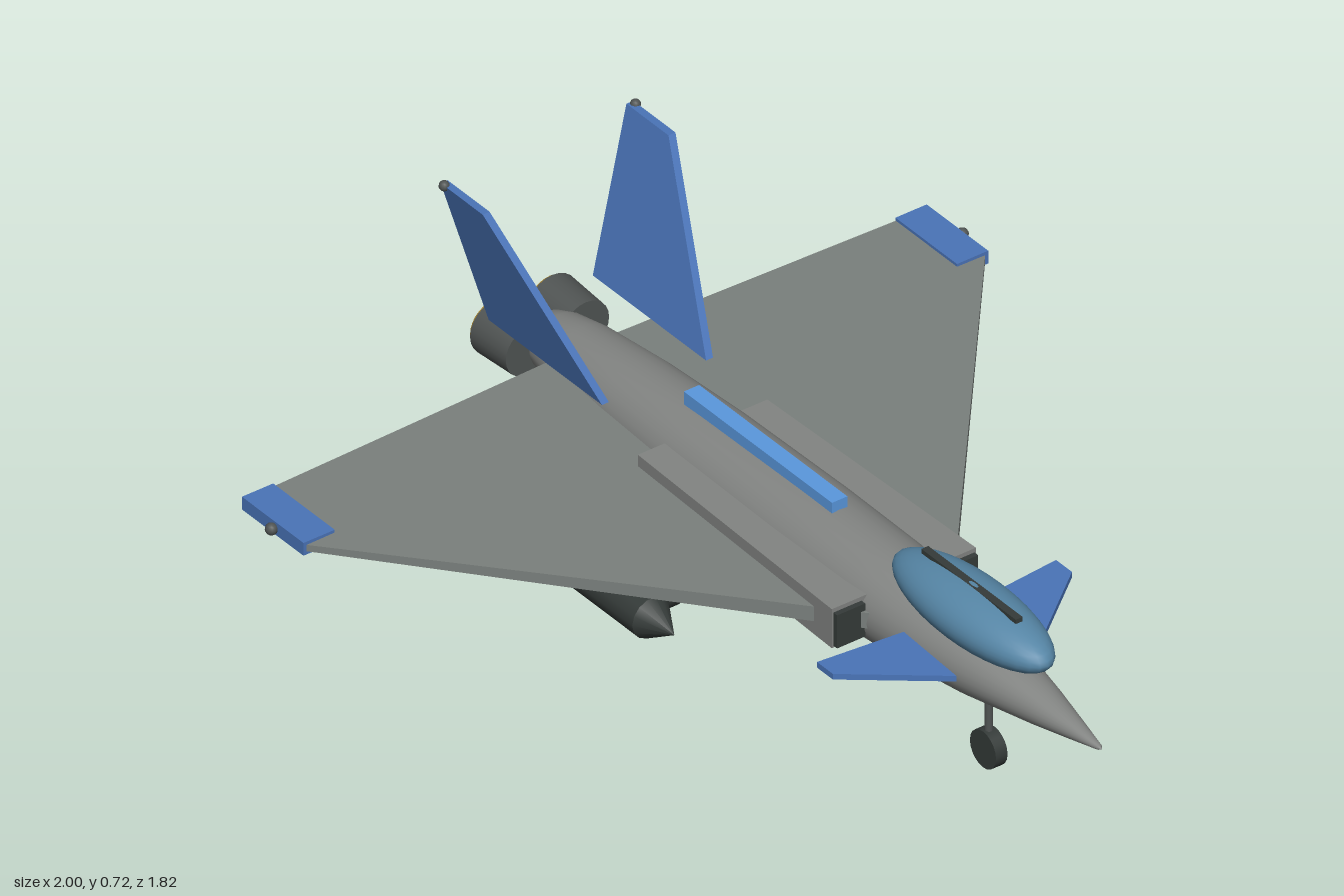
import * as THREE from 'three';
import { ConvexGeometry } from 'three/addons/geometries/ConvexGeometry.js';

const paint = (name, color) => {
  const m = new THREE.MeshStandardMaterial({ color });
  m.name = name;
  return m;
};

export function createModel() {
  const model = new THREE.Group();
  model.name = 'jet';
  const hull = paint('hull grey', 0x828482);
  const wingGrey = paint('wing grey', 0x7a807d);
  const blue = paint('blue', 0x4a74b8);
  const lightBlue = paint('light blue', 0x5a98de);
  const glass = paint('canopy glass', 0x5686a6);
  const dark = paint('dark grey', 0x353b39);
  const nozzleGrey = paint('nozzle grey', 0x505453);
  const gold = paint('gold', 0xc9a03a);

  const add = (name, geo, mat, x = 0, y = 0, z = 0) => {
    const mesh = new THREE.Mesh(geo, mat);
    mesh.name = name;
    mesh.position.set(x, y, z);
    model.add(mesh);
    return mesh;
  };
  // Box given by its limits on each axis
  const box = (name, mat, x0, x1, y0, y1, z0, z1) =>
    add(name, new THREE.BoxGeometry(x1 - x0, y1 - y0, Math.abs(z1 - z0)), mat,
      (x0 + x1) / 2, (y0 + y1) / 2, (z0 + z1) / 2);
  // Flat-sided solid around its corner points
  const solid = (name, mat, pts) =>
    add(name, new ConvexGeometry(pts.map((p) => new THREE.Vector3(...p))), mat);
  // Revolved body along x, profile as [x, radius] from rear to front
  const spun = (profile, sides) =>
    new THREE.LatheGeometry(profile.map(([x, r]) => new THREE.Vector2(r, x)), sides).rotateZ(-Math.PI / 2);

  // Fuselage, slightly wider than tall
  const outline = [[-0.94, 0], [-0.935, 0.035], [-0.91, 0.052], [-0.87, 0.066], [-0.79, 0.079],
    [-0.6, 0.094], [-0.35, 0.104], [0, 0.108], [0.25, 0.106], [0.42, 0.096], [0.6, 0.076],
    [0.8, 0.043], [0.92, 0.02], [0.99, 0.006], [1, 0]];
  add('fuselage', spun(outline, 28).scale(1, 1, 1.13), hull, 0, 0.255, 0);

  // Canopy, its top frame, spine and belly panel
  add('canopy', new THREE.SphereGeometry(1, 32, 20).scale(0.257, 0.066, 0.087), glass, 0.558, 0.362, 0);
  box('canopyFrame', dark, 0.39, 0.715, 0.417, 0.4277, -0.009, 0.009);
  box('spine', lightBlue, -0.413, 0.097, 0.355, 0.387, -0.02, 0.02);
  box('bellyPanel', dark, -0.29, 0.097, 0.142, 0.165, -0.057, 0.057);

  // Nose gear
  add('noseStrut', new THREE.CylinderGeometry(0.009, 0.009, 0.16, 12), nozzleGrey, 0.61, 0.125, 0);
  add('noseWheel', new THREE.CylinderGeometry(0.045, 0.045, 0.03, 20).rotateX(Math.PI / 2), dark, 0.61, 0.047, 0);

  for (const s of [1, -1]) {
    const side = s > 0 ? 'left' : 'right';
    const name = (part) => side + part;

    // Delta wing, thinner toward the tip
    const wing = [];
    for (const [x, z, h] of [[-0.79, 0.08, 0.02], [0.38, 0.08, 0.02], [-0.78, 0.88, 0.008], [-0.57, 0.88, 0.008]])
      wing.push([x, 0.263 + h, s * z], [x, 0.263 - h, s * z]);
    solid(name('Wing'), wingGrey, wing);
    box(name('WingTip'), blue, -0.782, -0.57, 0.247, 0.279, s * 0.807, s * 0.888);
    add(name('TipLight'), new THREE.SphereGeometry(0.014, 12, 8), nozzleGrey, -0.67, 0.263, s * 0.896);

    // Canted tail fin
    const fin = [];
    for (const [x, y, z] of [[-0.92, 0.34, 0.135], [-0.53, 0.34, 0.135], [-0.8, 0.714, 0.241], [-0.945, 0.714, 0.241]])
      fin.push([x, y, s * (z - 0.009)], [x, y, s * (z + 0.009)]);
    solid(name('TailFin'), blue, fin);
    add(name('FinLight'), new THREE.SphereGeometry(0.012, 12, 8), nozzleGrey, -0.935, 0.712, s * 0.248);

    // Canard
    const canard = [];
    for (const [x, z] of [[0.45, 0.1], [0.645, 0.11], [0.485, 0.31], [0.43, 0.31]])
      canard.push([x, 0.276, s * z], [x, 0.29, s * z]);
    solid(name('Canard'), blue, canard);

    // Air intake with dark mouth
    const intake = [];
    for (const [x, z] of [[-0.375, 0.168], [0.318, 0.187]])
      for (const y of [0.212, 0.31]) intake.push([x, y, s * 0.07], [x, y, s * z]);
    solid(name('Intake'), hull, intake);
    box(name('IntakeMouth'), dark, 0.31, 0.331, 0.217, 0.3, s * 0.11, s * 0.183);

    // Engine nozzle with gold rim and blue core
    const z = s * 0.073;
    add(name('Nozzle'), spun([[-0.99, 0], [-0.99, 0.067], [-0.875, 0.061], [-0.875, 0]], 24), nozzleGrey, 0, 0.258, z)
      .geometry = new THREE.CylinderGeometry(0.061, 0.067, 0.115, 24).rotateZ(-Math.PI / 2).translate(-0.932, 0, 0);
    add(name('NozzleRim'), new THREE.TorusGeometry(0.054, 0.01, 8, 28).rotateY(Math.PI / 2), gold, -0.99, 0.258, z);
    add(name('NozzleCore'), new THREE.CylinderGeometry(0.036, 0.036, 0.008, 24).rotateZ(Math.PI / 2), blue, -0.991, 0.258, z);

    // Store under the wing: pylon, body, nose, tail fins
    const sz = s * 0.367;
    box(name('Pylon'), nozzleGrey, -0.325, -0.137, 0.19, 0.25, sz - 0.013, sz + 0.013);
    add(name('StoreBody'), new THREE.CylinderGeometry(0.049, 0.049, 0.32, 14).rotateZ(-Math.PI / 2), dark, -0.225, 0.153, sz);
    add(name('StoreNose'), new THREE.ConeGeometry(0.049, 0.08, 14).rotateZ(-Math.PI / 2), dark, -0.025, 0.153, sz);
    add(name('StoreTail'), new THREE.CylinderGeometry(0.049, 0.028, 0.06, 14).rotateZ(-Math.PI / 2), dark, -0.415, 0.153, sz);
    box(name('StoreFinUpright'), gold, -0.462, -0.395, 0.09, 0.216, sz - 0.004, sz + 0.004);
    box(name('StoreFinFlat'), gold, -0.462, -0.395, 0.149, 0.157, sz - 0.063, sz + 0.063);

    // Main gear
    add(name('MainStrut'), new THREE.CylinderGeometry(0.012, 0.012, 0.19, 12), nozzleGrey, -0.267, 0.15, s * 0.19);
    add(name('MainWheel'), new THREE.CylinderGeometry(0.053, 0.053, 0.042, 20).rotateX(Math.PI / 2), dark, -0.267, 0.053, s * 0.19);
  }
  return model;
}
